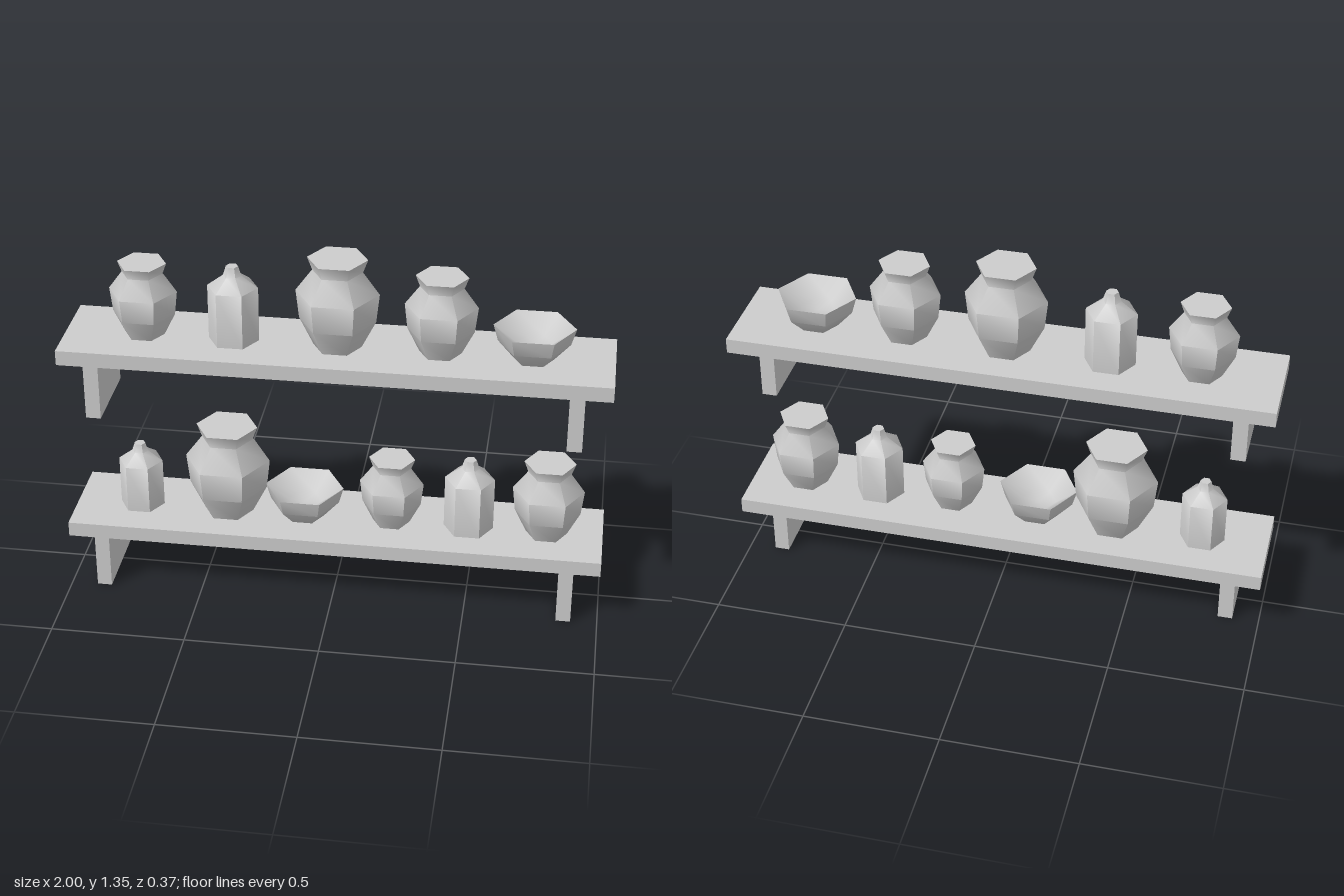
import * as THREE from 'three';
import { toCreasedNormals } from 'three/addons/utils/BufferGeometryUtils.js';

const clay = new THREE.MeshStandardMaterial({ color: 0xcccccc });
clay.name = 'plainGrey';

// Six-sided turned shape with corners at +x and -x; profile runs from bottom to top
function turned(profile, creaseDegrees) {
  const points = profile.map(([r, y]) => new THREE.Vector2(r, y));
  const geometry = new THREE.LatheGeometry(points, 6, Math.PI / 2);
  return toCreasedNormals(geometry, THREE.MathUtils.degToRad(creaseDegrees));
}

export function createModel() {
  const group = new THREE.Group();

  function add(parent, name, geometry, x, y, z, scale = 1) {
    const mesh = new THREE.Mesh(geometry, clay);
    mesh.name = name;
    mesh.position.set(x, y, z);
    mesh.scale.setScalar(scale);
    parent.add(mesh);
  }

  // Pottery shapes, each one unit in radius
  const shapes = {
    vase: turned([[0, 0], [0.58, 0], [0.92, 0.68], [1, 1.4], [0.6, 1.95], [0.72, 2.27], [0, 2.27]], 57),
    bottle: turned([[0, 0], [1, 0], [1, 2.26], [0.36, 2.74], [0.24, 3.13], [0, 3.13]], 50),
    bowl: turned([[0, 0], [0.5, 0], [0.88, 0.42], [1, 0.84], [0.45, 0.42], [0, 0.36]], 57),
  };

  // Shelf boards with their front-flush brackets
  const board = new THREE.BoxGeometry(2, 0.057, 0.374);
  function addShelf(name, top, bracketHeight, items) {
    const shelf = new THREE.Group();
    shelf.name = name;
    add(shelf, 'board', board, 0, top - 0.0285, 0);
    const bracket = new THREE.BoxGeometry(0.055, bracketHeight, 0.31);
    for (const side of [-1, 1]) {
      add(shelf, side > 0 ? 'leftBracket' : 'rightBracket', bracket,
        side * 0.874, top - 0.057 - bracketHeight / 2, 0.032);
    }
    for (const [kind, x, radius] of items) add(shelf, kind, shapes[kind], x, top, 0, radius);
    group.add(shelf);
  }

  addShelf('upperShelf', 1, 0.21, [
    ['vase', -0.71, 0.125], ['bottle', -0.38, 0.093], ['vase', 0, 0.152],
    ['vase', 0.373, 0.132], ['bowl', 0.707, 0.148],
  ]);
  addShelf('lowerShelf', 0.268, 0.211, [
    ['bottle', -0.753, 0.084], ['vase', -0.417, 0.16], ['bowl', -0.125, 0.148],
    ['vase', 0.205, 0.12], ['bottle', 0.497, 0.093], ['vase', 0.79, 0.133],
  ]);

  return group;
}
